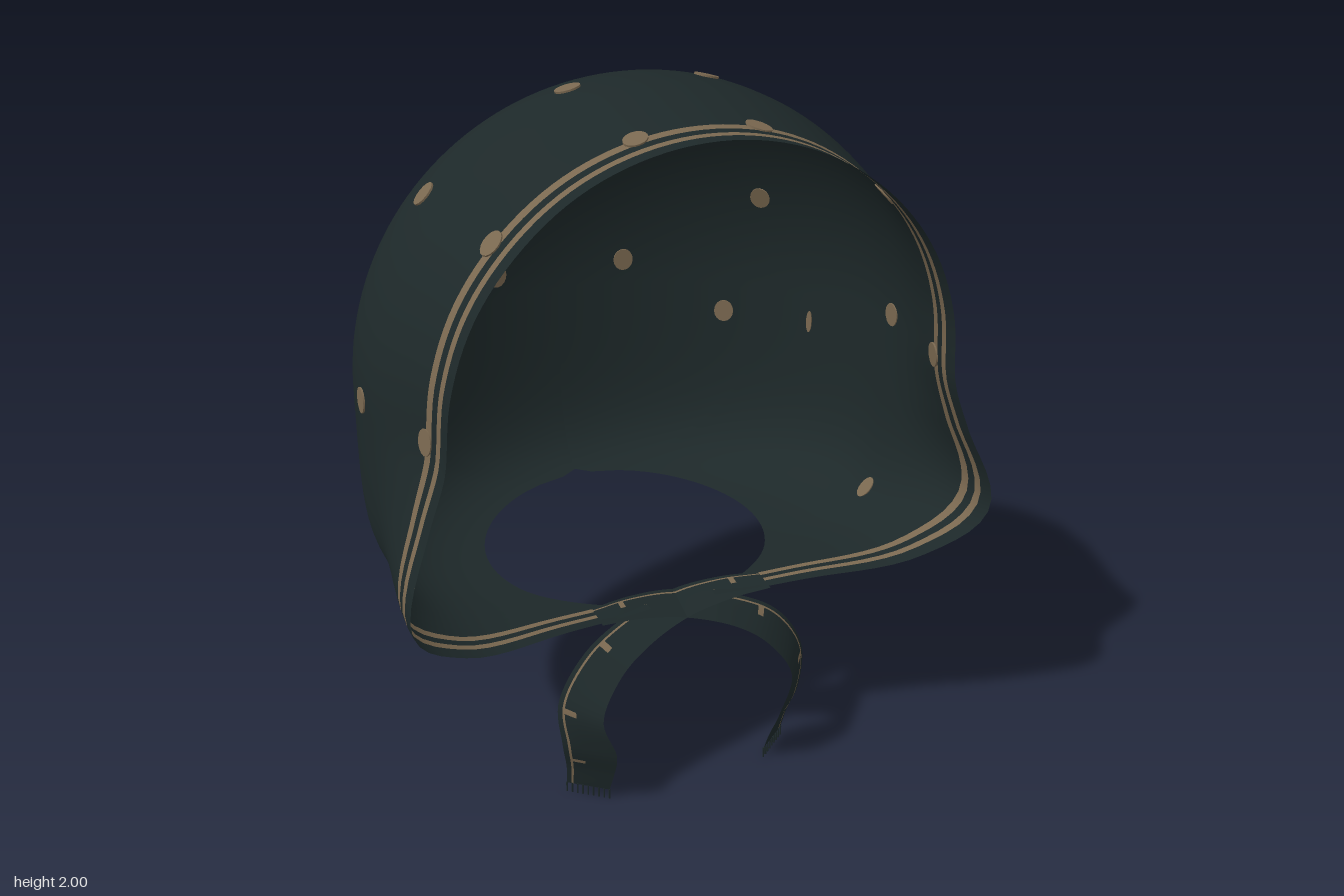
import * as THREE from 'three';

const fabric = new THREE.MeshStandardMaterial({ name: 'dark teal fabric', color: 0x1d2829, side: THREE.DoubleSide });
const tan = new THREE.MeshStandardMaterial({ name: 'tan print', color: 0x7a6850, side: THREE.DoubleSide });

// Surface from a grid of points; isTan(row, col) picks the printed cells
function gridMesh(name, rows, isTan) {
  const n = rows[0].length;
  const geo = new THREE.BufferGeometry().setFromPoints(rows.flat());
  const index = [];
  for (let i = 0; i < rows.length - 1; i++) {
    for (let j = 0; j < n - 1; j++) {
      const a = i * n + j, b = a + n;
      const material = isTan(i, j) ? 1 : 0;
      const last = geo.groups[geo.groups.length - 1];
      if (last && last.materialIndex === material) last.count += 6;
      else geo.addGroup(index.length, 6, material);
      index.push(a, b, a + 1, b, b + 1, a + 1);
    }
  }
  geo.setIndex(index);
  geo.computeVertexNormals();
  const mesh = new THREE.Mesh(geo, [fabric, tan]);
  mesh.name = name;
  return mesh;
}

// Face rim by angle from the crown to the chin: scale of the section, then depth
const rim = new THREE.SplineCurve([
  [0.912, 0.52], [0.912, 0.52], [0.912, 0.52], [0.912, 0.53], [0.91, 0.535], [0.9, 0.54], [0.895, 0.54],
  [0.965, 0.55], [1.06, 0.59], [0.98, 0.52], [0.955, 0.43], [0.98, 0.375], [0.985, 0.35],
].map(([f, z]) => new THREE.Vector2(f, z)));

// Bonnet surface: psi runs from the back pole to the widest section, w from there to the rim.
// The upper half is an ellipsoid; the lower half is round in plan with a squarer, flat-bottomed profile.
function shellPoint(psi, w, angle) {
  const hx = Math.sin(psi) * Math.sin(angle), hy = Math.sin(psi) * Math.cos(angle), hz = Math.cos(psi);
  const n = 5;
  const r = hy >= 0 ? 1 : Math.pow(Math.pow(hx * hx + hz * hz, n / 2) + Math.pow(-hy, n), -1 / n);
  let s = r, z = 0.05 - 0.645 * r * hz;
  if (w > 0) {
    const edge = rim.getPoint(Math.min(1, Math.abs(angle) / Math.PI));
    s *= THREE.MathUtils.lerp(1, edge.x, THREE.MathUtils.smoothstep(w, 0.08, 0.97));
    z = THREE.MathUtils.lerp(0.05, edge.y, w);
  }
  return new THREE.Vector3(0.81 * hx * s, 1.2 + (hy >= 0 ? 0.8 : 0.64) * hy * s, z);
}

// Last angle of a section before it runs into the oval neck opening or the gap between the chin flaps
function endAngle(psi, w) {
  const inHole = (a) => {
    const q = shellPoint(psi, w, a);
    const oval = (q.x / 0.43) ** 2 + ((q.z + 0.06) / 0.4) ** 2 < 1;
    return q.y < 0.85 && (oval || (q.z > 0 && Math.abs(q.x) < 0.1));
  };
  if (!inHole(Math.PI)) return Math.PI;
  let lo = Math.PI / 2, hi = Math.PI;
  for (let k = 0; k < 24; k++) {
    const mid = (lo + hi) / 2;
    if (inHole(mid)) hi = mid; else lo = mid;
  }
  return lo;
}

function createShell() {
  const sections = [];
  for (let i = 0; i <= 56; i++) sections.push([(Math.PI / 2) * i / 56, 0]);
  const fronts = [0.06, 0.13, 0.2, 0.27, 0.34, 0.41, 0.48, 0.55, 0.62, 0.69, 0.745, 0.8, 0.855, 0.904, 0.95, 1];
  for (const w of fronts) sections.push([Math.PI / 2, w]);
  const cols = 128;
  const rows = sections.map(([psi, w]) => {
    const end = endAngle(psi, w);
    return Array.from({ length: cols + 1 }, (_, j) => shellPoint(psi, w, end * (2 * j / cols - 1)));
  });
  // two printed stripes along the rim
  return gridMesh('bonnetShell', rows, (i) => [0.745, 0.855].includes(sections[i][1]));
}

// Printed dots, set through the cloth so they show on both sides
function createDots(shell) {
  const group = new THREE.Group();
  group.name = 'dots';
  // position, then width
  const spots = [
    [0.19, 1.95, 0.4, 1], [0.55, 1.72, 0.405, 1], [0.74, 1.24, 0.42, 1],
    [0.21, 1.97, 0.03, 1], [0.61, 1.74, 0.03, 1], [0.81, 1.22, 0.07, 1], [0.75, 0.68, 0.12, 0.8],
    [0.22, 1.78, -0.365, 1], [0.58, 1.5, -0.35, 1], [0.21, 1.27, -0.57, 1], [0.51, 1.09, -0.43, 1],
    [0.71, 1.09, -0.25, 0.3],
  ];
  const pos = shell.geometry.attributes.position, nor = shell.geometry.attributes.normal;
  const disc = new THREE.CylinderGeometry(0.031, 0.031, 0.009, 16).rotateX(Math.PI / 2);
  const v = new THREE.Vector3();
  for (const side of [1, -1]) {
    for (const [x, y, z, width] of spots) {
      const target = new THREE.Vector3(side * x, y, z);
      let best = 0, bestD = Infinity;
      for (let k = 0; k < pos.count; k++) {
        const d = v.fromBufferAttribute(pos, k).distanceToSquared(target);
        if (d < bestD) { bestD = d; best = k; }
      }
      const dot = new THREE.Mesh(disc, tan);
      dot.name = 'dot';
      dot.position.fromBufferAttribute(pos, best);
      dot.lookAt(v.fromBufferAttribute(nor, best).add(dot.position));
      dot.scale.set(width, 1.15, 1);
      group.add(dot);
    }
  }
  return group;
}

// Chin tie: a ribbon from one flap, crossing under the chin and hanging on the other side
function createTie(side) {
  const group = new THREE.Group();
  group.name = side > 0 ? 'leftTie' : 'rightTie';
  // centre, then half-width vector
  const path = [
    [-0.26, 0.578, 0.35, 0, -0.005, 0.04], [-0.14, 0.572, 0.335, 0, -0.012, 0.045],
    [0, 0.553, 0.335, 0, -0.02, 0.05], [0.15, 0.515, 0.37, -0.01, -0.027, 0.05],
    [0.265, 0.45, 0.4, -0.035, -0.025, 0.045], [0.34, 0.33, 0.42, -0.045, -0.01, 0.055],
    [0.318, 0.2, 0.425, -0.06, 0, 0.055], [0.303, 0.1, 0.39, -0.054, 0, 0.047], [0.3, 0.03, 0.365, -0.05, 0, 0.04],
  ];
  const edge = (k) => new THREE.CatmullRomCurve3(path.map(([x, y, z, a, b, c]) =>
    new THREE.Vector3(side * (x + k * a), y + k * b, z + k * c)));
  const inner = edge(1), outer = edge(-1);
  const across = [0, 0.1, 0.15, 0.4, 1];
  const rows = [];
  for (let i = 0; i <= 60; i++) {
    const a = outer.getPoint(i / 60), b = inner.getPoint(i / 60);
    rows.push(across.map((u) => a.clone().lerp(b, u)));
  }
  // printed line near one edge, with small spots beside it
  group.add(gridMesh('ribbon', rows, (i, j) => j === 1 || (j === 2 && i % 11 === 5)));
  // frayed end
  const thread = new THREE.BoxGeometry(0.004, 0.032, 0.004);
  for (let k = 0; k <= 8; k++) {
    const m = new THREE.Mesh(thread, fabric);
    m.name = 'fringeThread';
    m.position.copy(outer.getPoint(1)).lerp(inner.getPoint(1), k / 8);
    m.position.y = 0.016;
    group.add(m);
  }
  return group;
}

export function createModel() {
  const model = new THREE.Group();
  model.name = 'bonnet';
  const shell = createShell();
  model.add(shell, createDots(shell), createTie(1), createTie(-1));
  return model;
}
